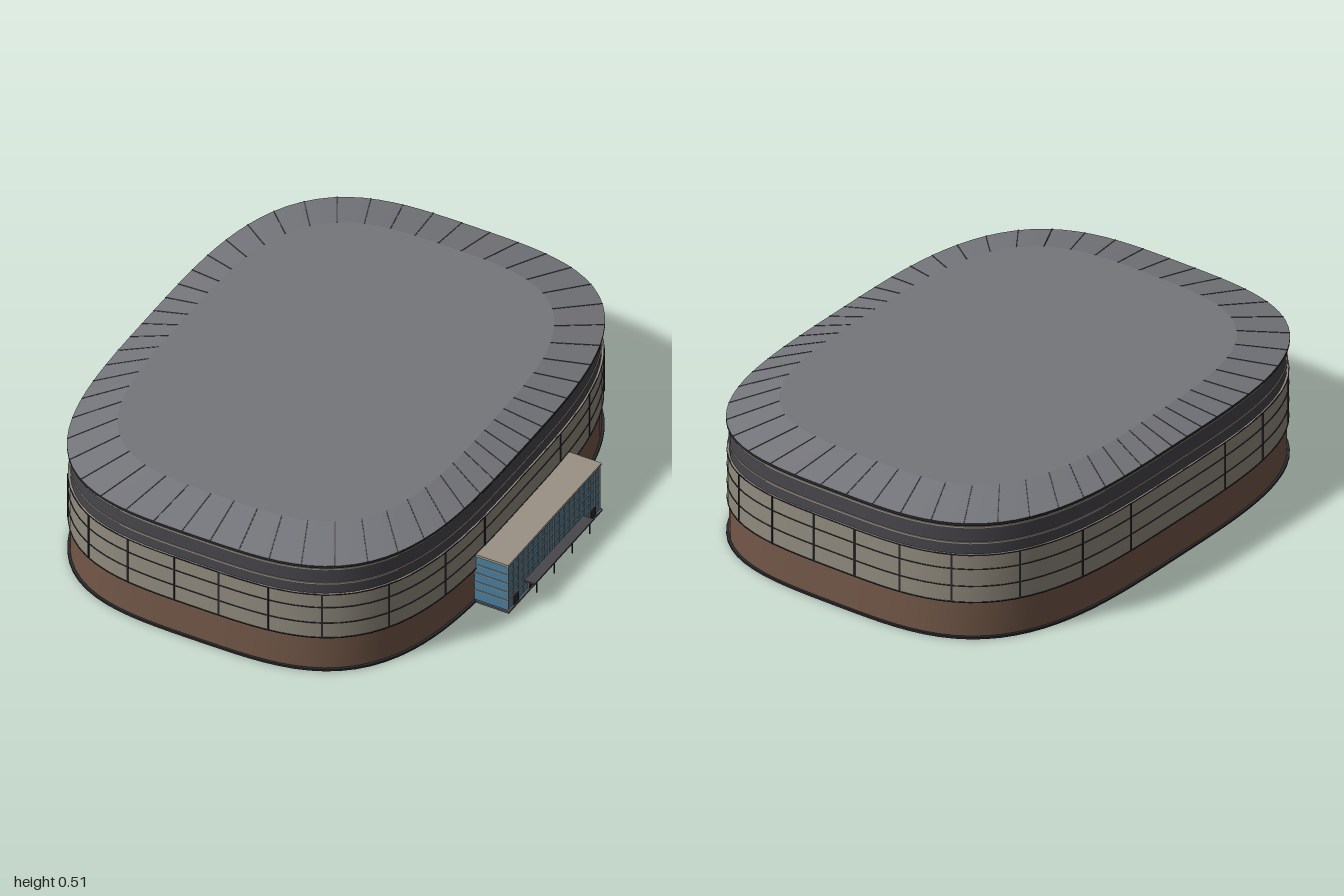
import * as THREE from 'three';

const CX = -0.08, A = 0.75, B = 1, POWER = 3.4, SEG = 120;

const mat = (name, color, extra = {}) => {
  const m = new THREE.MeshStandardMaterial({ color, ...extra });
  m.name = name;
  return m;
};

// point on the rounded plan outline at a polar angle
function outline(a, b, angle) {
  const c = Math.cos(angle), s = Math.sin(angle);
  const r = Math.pow(Math.pow(Math.abs(c) / a, POWER) + Math.pow(Math.abs(s) / b, POWER), -1 / POWER);
  return [CX + r * c, r * s];
}

// closed wall running through sections [a, b, y], listed upwards on the outer side
function loft(sections) {
  const pos = [], idx = [];
  for (let k = 0; k < sections.length - 1; k++) {
    const base = pos.length / 3;
    for (const [a, b, y] of [sections[k], sections[k + 1]]) {
      for (let i = 0; i < SEG; i++) {
        const [x, z] = outline(a, b, (i / SEG) * Math.PI * 2);
        pos.push(x, y, z);
      }
    }
    for (let i = 0; i < SEG; i++) {
      const p = base + i, q = base + ((i + 1) % SEG);
      idx.push(p, p + SEG, q, q, p + SEG, q + SEG);
    }
  }
  const g = new THREE.BufferGeometry();
  g.setAttribute('position', new THREE.Float32BufferAttribute(pos, 3));
  g.setIndex(idx);
  g.computeVertexNormals();
  return g;
}

// flat plate filling the outline, facing up or down
function cap(a, b, y, up) {
  const pos = [CX, y, 0], idx = [];
  for (let i = 0; i < SEG; i++) {
    const [x, z] = outline(a, b, (i / SEG) * Math.PI * 2);
    pos.push(x, y, z);
    const p = 1 + i, q = 1 + ((i + 1) % SEG);
    idx.push(0, ...(up ? [q, p] : [p, q]));
  }
  const g = new THREE.BufferGeometry();
  g.setAttribute('position', new THREE.Float32BufferAttribute(pos, 3));
  g.setIndex(idx);
  g.computeVertexNormals();
  return g;
}

export function createModel() {
  const root = new THREE.Group();
  root.name = 'arena';
  const brick = mat('brick', 0x735848);
  const panel = mat('wallPanel', 0x918b7e);
  const fascia = mat('fascia', 0x46464c);
  const roof = mat('roof', 0x75767b);
  const glass = mat('glass', 0x4a7f9f);
  const dark = mat('darkTrim', 0x29292c);
  const trim = mat('lightTrim', 0x9a9184);
  const paving = mat('paving', 0x55565a);

  const add = (parent, name, geometry, material) => {
    const m = new THREE.Mesh(geometry, material);
    m.name = name;
    parent.add(m);
    return m;
  };
  const box = (parent, name, material, [w, h, d], [x, y, z]) => {
    const m = add(parent, name, new THREE.BoxGeometry(w, h, d), material);
    m.position.set(x, y, z);
    return m;
  };
  // vertical band set back from the full outline
  const band = (parent, name, inset, y0, y1, material) =>
    add(parent, name, loft([[A - inset, B - inset, y0], [A - inset, B - inset, y1]]), material);
  // projecting ring with lower and upper faces
  const ring = (parent, name, inset, depth, y0, y1, material) => {
    const o = [A - inset, B - inset], n = [A - inset - depth, B - inset - depth];
    return add(parent, name, loft([[...n, y0], [...o, y0], [...o, y1], [...n, y1]]), material);
  };

  // Walls, stacked from the ground up
  const walls = new THREE.Group();
  walls.name = 'walls';
  root.add(walls);
  add(walls, 'floor', cap(A - 0.01, B - 0.01, 0.002, false), dark);
  ring(walls, 'plinth', 0.001, 0.012, 0, 0.008, dark);
  band(walls, 'brickBase', 0.01, 0.002, 0.146, brick);
  ring(walls, 'panelBand', 0.004, 0.01, 0.145, 0.336, panel);
  band(walls, 'fasciaBand', 0.01, 0.334, 0.458, fascia);
  for (const y of [0.146, 0.21, 0.278, 0.334]) ring(walls, 'panelJoint', 0.002, 0.004, y - 0.002, y + 0.002, dark);
  for (const y of [0.38, 0.443]) ring(walls, 'fasciaStripe', 0.007, 0.006, y - 0.003, y + 0.003, trim);

  // Upright joints between the wall panels, mirrored into all four corners
  for (const deg of [5.1, 15.8, 26.5, 39.8, 54.5, 70]) {
    for (const sx of [-1, 1]) for (const sz of [-1, 1]) {
      const t = THREE.MathUtils.degToRad(deg);
      const [x, z] = outline(A - 0.005, B - 0.005, Math.atan2(sz * Math.cos(t), sx * Math.sin(t)));
      const post = box(walls, 'panelMullion', dark, [0.007, 0.19, 0.007], [x, 0.24, z]);
      post.rotation.y = Math.atan2(x - CX, z);
    }
  }

  // Roof with a sloping border and radial seams
  const roofGroup = new THREE.Group();
  roofGroup.name = 'roof';
  root.add(roofGroup);
  const IA = 0.61, IB = 0.81, EDGE = 0.464, TOP = 0.506;
  ring(roofGroup, 'eave', 0, 0.014, 0.454, EDGE, dark);
  add(roofGroup, 'roofSlope', loft([[A, B, EDGE], [IA, IB, TOP]]), roof);
  add(roofGroup, 'roofTop', cap(IA, IB, TOP, true), roof);
  for (let i = 0; i < 56; i++) {
    const t = ((i + 0.5) / 56) * Math.PI * 2;
    const [x0, z0] = outline(A, B, t), [x1, z1] = outline(IA, IB, t);
    const from = new THREE.Vector3(x0, EDGE, z0), to = new THREE.Vector3(x1, TOP, z1);
    const seam = box(roofGroup, 'roofSeam', fascia, [0.004, 0.003, from.distanceTo(to)], [0, 0, 0]);
    seam.position.copy(from).lerp(to, 0.5);
    seam.lookAt(to);
  }

  // Glazed entrance hall on the model's left side
  const hall = new THREE.Group();
  hall.name = 'entranceHall';
  root.add(hall);
  const X0 = 0.6, X1 = 0.786, Z = 0.328, H = 0.2;
  box(hall, 'entranceFloor', paving, [0.2, 0.008, 0.67], [0.695, 0.004, 0]);
  box(hall, 'glassHall', glass, [X1 - X0, H - 0.008, Z * 2], [(X0 + X1) / 2, (H + 0.008) / 2, 0]);
  box(hall, 'hallRoof', trim, [X1 - X0 + 0.006, 0.01, Z * 2 + 0.01], [(X0 + X1) / 2 + 0.003, H + 0.005, 0]);
  for (let i = 0; i <= 18; i++) {
    box(hall, 'glassMullion', trim, [0.004, H - 0.01, 0.004], [X1 + 0.001, H / 2 + 0.004, -Z + (i / 18) * Z * 2]);
  }
  for (const y of [0.05, 0.087, 0.125, 0.162]) {
    box(hall, 'glassRail', trim, [0.004, 0.004, Z * 2], [X1 + 0.001, y, 0]);
    for (const s of [-1, 1]) box(hall, 'sideRail', trim, [X1 - X0, 0.004, 0.004], [(X0 + X1) / 2, y, s * (Z + 0.001)]);
  }
  for (let i = 0; i < 6; i++) {
    box(hall, 'door', dark, [0.008, 0.036, 0.034], [X1 + 0.002, 0.026, -0.275 + i * 0.11]);
  }

  // Canopy on slim posts
  box(hall, 'canopy', fascia, [0.042, 0.007, 0.42], [0.808, 0.057, 0]);
  for (const z of [-0.19, -0.065, 0.065, 0.19]) {
    const post = add(hall, 'canopyPost', new THREE.CylinderGeometry(0.003, 0.003, 0.048, 8), dark);
    post.position.set(0.825, 0.032, z);
  }
  return root;
}
